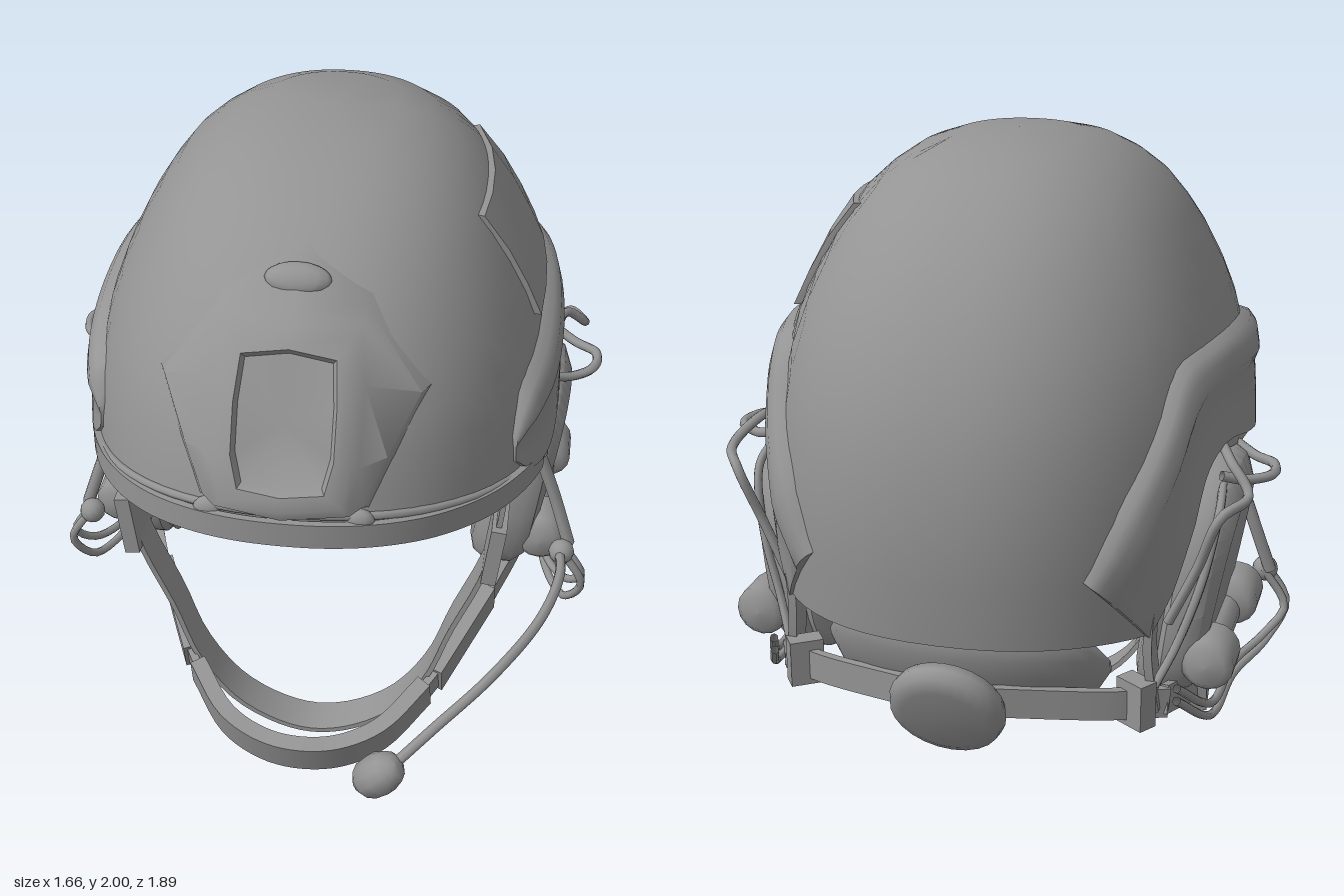
import * as THREE from 'three';
import { toCreasedNormals } from 'three/addons/utils/BufferGeometryUtils.js';

const V = (x, y, z) => new THREE.Vector3(x, y, z);
const material = new THREE.MeshStandardMaterial({ color: 0x949494, side: THREE.DoubleSide });
const POWER = 2.2, ZC = -0.05;

// Shell half width, front z and back z at each height
const profile = [
  [2.0, 0, ZC, ZC], [1.975, 0.23, 0.22, -0.34], [1.85, 0.42, 0.52, -0.57], [1.69, 0.53, 0.71, -0.735],
  [1.5, 0.62, 0.84, -0.85], [1.35, 0.66, 0.89, -0.91], [1.2, 0.68, 0.925, -0.935], [1.0, 0.692, 0.94, -0.95], [0.7, 0.68, 0.9, -0.915],
].map(([y, ...v]) => [Math.sqrt(2 - y), ...v]);
// Height of the rim along z
const rimTable = [[-0.95, 0.75], [-0.62, 0.71], [-0.56, 0.85], [-0.46, 1.1], [-0.38, 1.17], [-0.05, 1.1],
  [0.2, 1.06], [0.6, 1.13], [0.95, 1.2]];

function lookup(table, key) {
  let i = 1;
  while (i < table.length - 1 && key > table[i][0]) i++;
  const [a, b] = [table[i - 1], table[i]];
  const t = THREE.MathUtils.clamp((key - a[0]) / (b[0] - a[0]), 0, 1);
  return a.slice(1).map((v, k) => v + (b[k + 1] - v) * t);
}
const section = y => lookup(profile, Math.sqrt(Math.max(0, 2 - y)));
const root = v => Math.pow(Math.max(0, 1 - Math.pow(Math.min(1, Math.abs(v)), POWER)), 1 / POWER);

// Points on the shell: by azimuth, from the side, from the front
function onShell(th, y, shrink = 1) {
  const [a, f, b] = section(y), c = Math.cos(th), s = Math.sin(th);
  const e = v => Math.sign(v) * Math.pow(Math.abs(v), 2 / POWER);
  return V(a * e(c) * shrink, y, ZC + (s > 0 ? f - ZC : ZC - b) * e(s) * shrink);
}
function onSide(s, z, y, off) {
  const [a, f, b] = section(y), half = z > ZC ? f - ZC : ZC - b, u = (z - ZC) / half;
  const x = a * root(u);
  const n = V(Math.pow(x / a, POWER - 1) / a, 0, Math.sign(u) * Math.pow(Math.abs(u), POWER - 1) / half).normalize();
  return V(s * (x + n.x * off), y, z + n.z * off);
}
function onFront(x, y, off) {
  const [a, f] = section(y);
  return V(x, y + off * 0.3, ZC + (f - ZC) * root(x / a) + off);
}

// Joins closed rings of points, facing outwards
function loft(rings, { caps = [true, true], crease = 0.7 } = {}) {
  const n = rings[0].length, pts = rings.flat(), idx = [];
  for (let i = 0; i < rings.length - 1; i++) for (let j = 0; j < n; j++) {
    const a = i * n + j, b = i * n + (j + 1) % n;
    idx.push(a, b, a + n, b, b + n, a + n);
  }
  [0, rings.length - 1].forEach((r, k) => {
    if (!caps[k]) return;
    const m = pts.length;
    pts.push(rings[r].reduce((s, p) => s.add(p), V(0, 0, 0)).divideScalar(n));
    for (let j = 0; j < n; j++) {
      const a = r * n + j, b = r * n + (j + 1) % n;
      idx.push(...(k ? [a, b, m] : [b, a, m]));
    }
  });
  let volume = 0;
  for (let i = 0; i < idx.length; i += 3) volume += pts[idx[i]].dot(pts[idx[i + 1]].clone().cross(pts[idx[i + 2]]));
  if (volume < 0) idx.reverse();
  const g = new THREE.BufferGeometry().setFromPoints(pts);
  g.setIndex(idx);
  return toCreasedNormals(g, crease);
}
// Flat strap swept along a path
function strap(points, across, width, thick, n = 24) {
  const curve = new THREE.CatmullRomCurve3(points), rings = [];
  for (let i = 0; i <= n; i++) {
    const p = curve.getPoint(i / n), t = curve.getTangent(i / n);
    const nor = t.clone().cross(across).normalize(), w = nor.clone().cross(t).normalize();
    rings.push([[-1, -1], [1, -1], [1, 1], [-1, 1]].map(([u, v]) =>
      p.clone().addScaledVector(w, u * width / 2).addScaledVector(nor, v * thick / 2)));
  }
  return loft(rings);
}
const tube = (points, r) => new THREE.TubeGeometry(new THREE.CatmullRomCurve3(points), 32, r, 7);
const lathe = (half, sides) => new THREE.LatheGeometry(half.map(p => new THREE.Vector2(...p)), sides);

export function createModel() {
  const model = new THREE.Group();
  const add = (name, geometry, pos, rot, scale) => {
    const m = new THREE.Mesh(geometry, material);
    m.name = name;
    if (pos) m.position.set(...pos);
    if (rot) m.rotation.set(...rot);
    if (scale) m.scale.set(...scale);
    model.add(m);
  };

  // Shell: outside from crown to rim, then the inside back up
  const COLS = 64, ROWS = 11, rings = [];
  const rimY = th => lookup(rimTable, onShell(th, 1.1).z)[0];
  const ring = (s, inner) => Array.from({ length: COLS }, (_, j) => {
    const th = j / COLS * Math.PI * 2, y = 2 - (2 - rimY(th)) * Math.pow(s, 1.65);
    const p = onShell(th, y, inner ? 0.96 : 1);
    if (inner) p.y -= 0.04 * (1 - s);
    return p;
  });
  for (let i = 0; i <= ROWS; i++) rings.push(ring(i / ROWS, false));
  for (let i = ROWS; i >= 0; i--) rings.push(ring(i / ROWS, true));
  add('shell', loft(rings, { caps: [false, false], crease: 0.9 }));

  // Brim band around the front, with a cord above it
  const along = (lift, shrink) => Array.from({ length: 29 }, (_, i) => {
    const th = 0.3 + i / 28 * (Math.PI - 0.6);
    return onShell(th, rimY(th) + lift * Math.sin(th), shrink);
  });
  add('brim', strap(along(0.035, 1.008), V(0, 1, 0), 0.075, 0.02, 56));
  add('brimCord', tube(along(0.085, 1), 0.012));

  // Front mount: raised diamond plate with a framed recess
  const outer = [[0, 1.88], [0.2, 1.78], [0.37, 1.56], [0.29, 1.42], [0.23, 1.29], [0, 1.27]];
  const frame = [[0, 1.74], [0.17, 1.72], [0.19, 1.6], [0.19, 1.42], [0.17, 1.3], [0, 1.29]];
  const recess = [[0, 1.68], [0.12, 1.66], [0.13, 1.56], [0.13, 1.44], [0.11, 1.36], [0, 1.35]];
  const plateRing = (half, k, off) => [...half, ...half.slice(1, -1).reverse().map(([x, y]) => [-x, y])]
    .map(([x, y]) => onFront(x * k, 1.53 + (y - 1.53) * k, off));
  add('frontMount', loft([plateRing(outer, 1, -0.01), plateRing(outer, 0.93, 0.03), plateRing(frame, 1.06, 0.035),
    plateRing(frame, 0.95, 0.05), plateRing(recess, 1.05, 0.045), plateRing(recess, 0.97, 0.025)],
  { caps: [false, true], crease: 0.85 }));
  add('mountKnob', new THREE.SphereGeometry(1, 14, 10), onFront(0, 1.81, 0.015).toArray(), [-0.7, 0, 0], [0.09, 0.045, 0.03]);

  // Patch on the left of the shell
  add('patch', loft([0, 0.25, 0.5, 0.75, 1].map(u =>
    [[0, 0.018], [0.33, 0.018], [0.67, 0.018], [1, 0.018], [1, -0.005], [0, -0.005]].map(([h, off]) =>
      onSide(1, THREE.MathUtils.lerp(0.16 - 0.51 * u, 0.14 - 0.53 * u, h),
        THREE.MathUtils.lerp(1.8 + 0.02 * u, 1.48 + 0.04 * u, h), off)))));

  // Parts found on both sides
  for (const s of [1, -1]) {
    const P = list => list.map(([x, y, z]) => V(s * x, y, z));
    const side = s > 0 ? 'left' : 'right';

    // Rail following the ear cutout, thinner towards its ends
    const low = new THREE.CatmullRomCurve3([[0.48, 1.2], [0.4, 1.12], [0.2, 1.06], [0, 1.1], [-0.3, 1.17], [-0.42, 1.13],
      [-0.5, 1.0], [-0.57, 0.82], [-0.63, 0.7]].map(([z, y]) => V(0, y, z)));
    const high = new THREE.CatmullRomCurve3([[0.47, 1.28], [0.4, 1.38], [0.2, 1.42], [0, 1.45], [-0.3, 1.47], [-0.48, 1.45],
      [-0.62, 1.3], [-0.75, 1.12], [-0.82, 0.94]].map(([z, y]) => V(0, y, z)));
    const cut = [[0, -0.02], [0.04, 0.018], [0.3, 0.02], [0.6, 0.024], [0.7, 0.042], [0.85, 0.042], [0.95, 0.028], [1, -0.012]];
    add(side + 'Rail', loft(Array.from({ length: 33 }, (_, i) => {
      const a = low.getPoint(i / 32), b = high.getPoint(i / 32), k = Math.min(1, 0.3 + i / 6, 0.5 + (32 - i) / 8);
      return cut.map(([t, off]) => { const p = a.clone().lerp(b, t); return onSide(s, p.z, p.y, off * k); });
    }), { crease: 1.0 }));

    // Ear cup, leaning outwards at the top
    const outline = new THREE.CatmullRomCurve3([[0.07, 0.52], [0.07, 0.88], [0, 1.04], [-0.13, 1.12], [-0.32, 1.11], [-0.46, 1.0],
      [-0.53, 0.8], [-0.51, 0.5], [-0.4, 0.43], [-0.05, 0.43]].map(([z, y]) => V(0, y, z)), true).getPoints(40).slice(0, 40);
    add(side + 'EarCup', loft([[0.5, 0.82], [0.51, 0.92], [0.54, 0.98], [0.56, 0.95], [0.575, 1], [0.63, 1], [0.67, 0.93], [0.695, 0.72]]
      .map(([x, k]) => outline.map(p => V(s * (x + (p.y - 0.78) * 0.13), 0.78 + (p.y - 0.78) * k, -0.23 + (p.z + 0.23) * k)))));
    const pod = lathe([[0, -0.09], [0.055, -0.085], [0.078, -0.06], [0.078, 0.06], [0.055, 0.085], [0, 0.09]], 16);
    for (const z of [-0.02, -0.46]) add(side + 'CupPod', pod, [s * 0.68, 0.585, z], [Math.PI / 2, 0, 0]);
    add(side + 'CupBar', new THREE.CylinderGeometry(0.055, 0.055, 0.4, 14), [s * 0.655, 0.56, -0.24], [Math.PI / 2, 0, 0]);

    // Headset arm and cables
    add(side + 'Arm', tube(P([[0.62, 1.1, 0.09], [0.64, 1.0, 0.08], [0.71, 0.8, 0.08], [0.77, 0.62, 0.1]]), 0.02));
    add(side + 'ArmSleeve', new THREE.CylinderGeometry(0.026, 0.026, 0.12, 10), [s * 0.645, 1.0, 0.08], [0, 0, s * 0.25]);
    add(side + 'ArmJoint', new THREE.SphereGeometry(0.04, 12, 8), [s * 0.75, 0.61, 0.13]);
    for (const d of [0, 0.04]) {
      add(side + 'LowerCable', tube(P([[0.75, 0.62, 0.14 - d], [0.82, 0.5, 0.14 - d], [0.77, 0.39 + d, 0.08 - d],
        [0.7, 0.36 + d, -0.12], [0.68, 0.37 + d, -0.42], [0.61, 0.5 + d, -0.6]]), 0.013));
    }
    add(side + 'FrontLoop', tube(P([[0.68, 1.11, -0.1], [0.74, 1.09, -0.14], [0.8, 1.09, -0.19], [0.81, 1.09, -0.28], [0.74, 1.09, -0.34], [0.68, 1.11, -0.38]]), 0.015));
    add(side + 'RearLoop', tube(P([[0.67, 1.17, -0.3], [0.71, 1.16, -0.4], [0.77, 1.09, -0.46], [0.71, 1.06, -0.57], [0.65, 0.9, -0.55], [0.57, 0.72, -0.55]]), 0.015));
    add(side + 'RearCable', tube(P([[0.68, 1.08, -0.34], [0.69, 1.03, -0.46], [0.66, 0.85, -0.52], [0.6, 0.66, -0.56], [0.55, 0.55, -0.62]]), 0.013));

    // Strap fittings
    add(side + 'TempleBuckle', new THREE.BoxGeometry(0.045, 0.2, 0.19), [s * 0.55, 0.82, 0.36], [0, 0, s * -0.12]);
    add(side + 'ChinSlider', strap(P([[0.39, 0.255, 0.38], [0.45, 0.3, 0.25], [0.53, 0.355, 0.07]]), V(0, 1, 0.3), 0.11, 0.045));
    add(side + 'RearBuckle', new THREE.BoxGeometry(0.05, 0.1, 0.2), [s * 0.625, 0.42, -0.28], [-0.15, s * -0.1, 0]);
    add(side + 'NapeStrap', strap(P([[0.54, 0.85, -0.6], [0.53, 0.66, -0.6], [0.55, 0.47, -0.58]]), V(0, 0, 1), 0.08, 0.025));
    add(side + 'DialStrap', strap(P([[0.58, 0.48, -0.57], [0.42, 0.5, -0.67], [0.12, 0.53, -0.79]]), V(0, 1, 0), 0.09, 0.025));
    add(side + 'NapeClip', new THREE.BoxGeometry(0.1, 0.14, 0.06), [s * 0.5, 0.5, -0.63], [0, s * 0.6, 0]);
    add(side + 'BrimClip', new THREE.SphereGeometry(1, 12, 8), onFront(s * 0.2, 1.26, -0.005).toArray(), null, [0.045, 0.035, 0.025]);
  }

  // Straps that pass under the chin
  const mirror = pts => [...pts.map(([x, y, z]) => V(-x, y, z)).reverse(), ...pts.slice(1).map(p => V(...p))];
  add('throatStrap', strap(mirror([[0, 0.008, 0.35], [0.12, 0.035, 0.35], [0.25, 0.12, 0.35], [0.36, 0.28, 0.35], [0.43, 0.48, 0.35],
    [0.52, 0.72, 0.36], [0.56, 0.92, 0.37], [0.58, 1.14, 0.37]]), V(0, 0, 1), 0.12, 0.016, 48));
  add('chinStrap', strap(mirror([[0, 0.15, 0.65], [0.22, 0.175, 0.59], [0.4, 0.262, 0.36], [0.54, 0.36, 0.05], [0.63, 0.42, -0.28],
    [0.57, 0.49, -0.58]]), V(0, 1, 0.3), 0.085, 0.025, 48));
  add('chinCup', strap(mirror([[0, 0.15, 0.655], [0.12, 0.155, 0.635], [0.24, 0.185, 0.575], [0.36, 0.24, 0.42]]), V(0, 1, 0.3), 0.115, 0.05, 30));

  // Nape cushion and dial
  const pad = [];
  for (let i = 0; i <= 20; i++) {
    const u = i / 10 - 1, k = Math.pow(Math.max(0.02, 1 - Math.pow(Math.abs(u), 5)), 0.5);
    pad.push(Array.from({ length: 14 }, (_, j) => {
      const a = j / 14 * Math.PI * 2, h = Math.sin(a) * 0.15 * k;
      return V(u * 0.42, 0.59 + h, -0.73 + u * u * 0.12 - h * 0.4 + Math.cos(a) * 0.06 * k);
    }));
  }
  add('napeCushion', loft(pad, { crease: 1 }));
  add('napeDial', lathe([[0, -0.05], [0.12, -0.05], [0.16, -0.03], [0.17, 0], [0.16, 0.03], [0.12, 0.05], [0, 0.05]], 24),
    [0, 0.51, -0.82], [Math.PI / 2 - 0.43, 0, 0]);

  // Microphone on its boom
  add('micBoom', tube([V(0.74, 0.61, 0.1), V(0.75, 0.62, 0.25), V(0.7, 0.6, 0.45), V(0.57, 0.56, 0.68), V(0.42, 0.47, 0.82),
    V(0.32, 0.38, 0.88)], 0.016));
  add('microphone', lathe([[0, -0.1], [0.035, -0.09], [0.06, -0.05], [0.065, 0.01], [0.052, 0.06], [0.03, 0.085], [0, 0.09]], 12),
    [0.27, 0.33, 0.885], [0.35, 0, -0.6]);

  return model;
}
